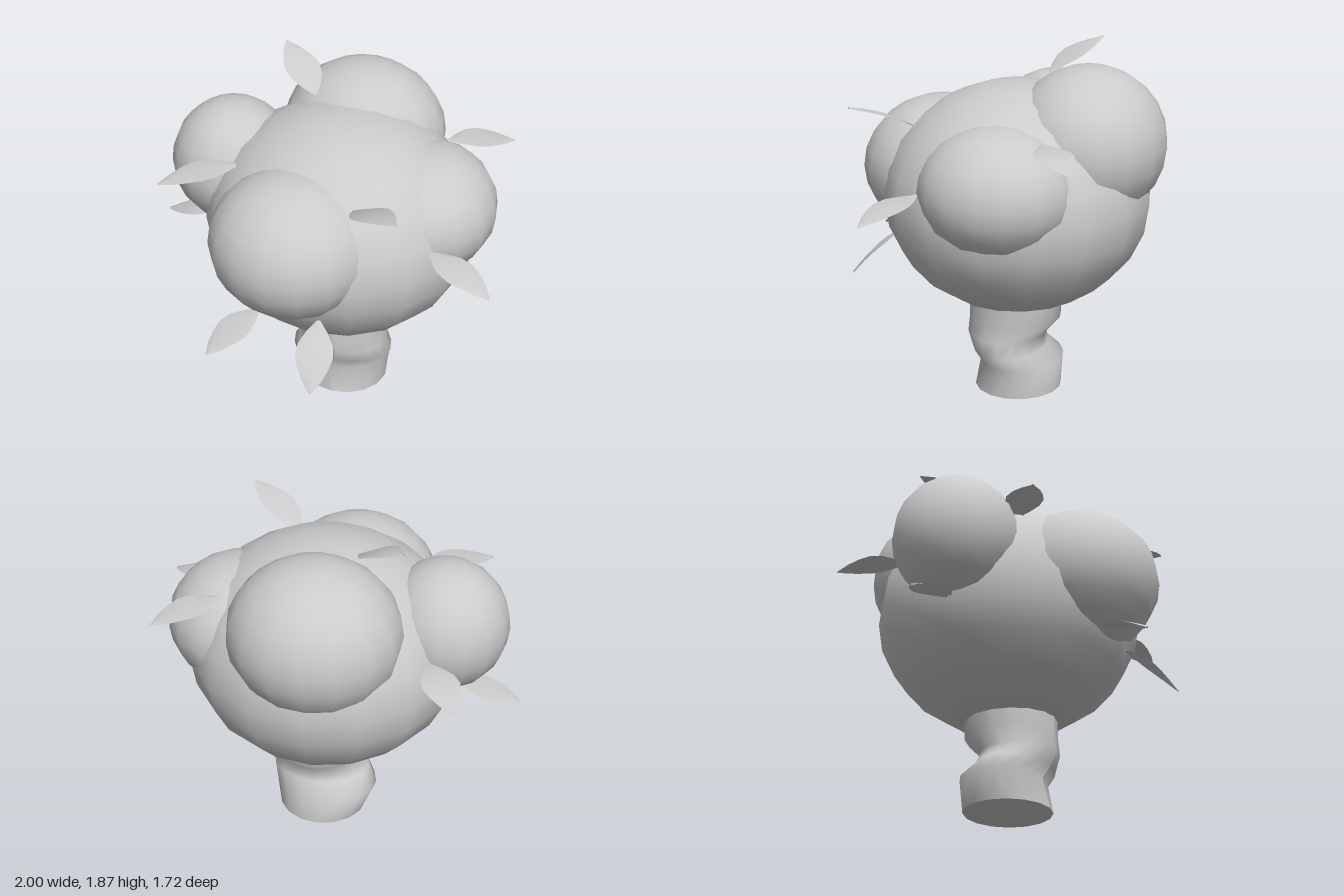
import * as THREE from 'three';

const mat = new THREE.MeshStandardMaterial({ color: 0xcccccc });
const leafMat = new THREE.MeshStandardMaterial({ color: 0xcccccc, side: THREE.DoubleSide });

// Foliage clumps: name, centre, radii
const CLUMPS = [
  ['crown', [0.055, 1.075, -0.075], [0.73, 0.615, 0.71]],
  ['frontClump', [-0.05, 1.18, 0.38], [0.44, 0.385, 0.43]],
  ['backClump', [0.05, 1.385, -0.45], [0.45, 0.405, 0.415]],
  ['rightClump', [-0.57, 1.285, -0.1], [0.335, 0.348, 0.335]],
  ['leftClump', [0.5, 1.215, -0.1], [0.385, 0.338, 0.41]],
];

// Leaves: stem point, tip point
const LEAVES = [
  [[-0.13, 1.71, -0.19], [-0.38, 1.87, -0.42]],
  [[0.27, 1.46, 0.41], [0.57, 1.61, 0.66]],
  [[-0.42, 1.45, 0.18], [-0.78, 1.39, 0.42]],
  [[0.64, 1.21, 0.28], [1.0, 1.13, 0.45]],
  [[0.55, 1.49, -0.34], [0.86, 1.43, -0.56]],
  [[-0.64, 0.935, -0.1], [-1.0, 0.84, -0.13]],
  [[-0.18, 0.84, 0.56], [-0.36, 0.71, 0.85]],
  [[0.15, 0.85, 0.56], [0.2, 0.59, 0.83]],
  [[-0.52, 1.25, -0.42], [-0.68, 1.19, -0.74]],
];

// Trunk rings: height, x min, x max, z min, z max
const RINGS = [
  [0, -0.17, 0.32, -0.32, 0.15],
  [0.16, -0.23, 0.335, -0.32, 0.12],
  [0.24, -0.18, 0.36, -0.245, 0.155],
  [0.32, -0.12, 0.335, -0.24, 0.18],
  [0.41, -0.165, 0.335, -0.32, 0.177],
  [0.58, -0.165, 0.345, -0.32, 0.172],
];

// Knobbly trunk: a cylinder whose rows follow the rings
function makeTrunk() {
  const geo = new THREE.CylinderGeometry(1, 1, 1, 16, RINGS.length - 1);
  const p = geo.attributes.position;
  for (let i = 0; i < p.count; i++) {
    const row = Math.round((p.getY(i) + 0.5) * (RINGS.length - 1));
    const [y, x0, x1, z0, z1] = RINGS[row];
    p.setXYZ(i,
      (x0 + x1) / 2 + p.getX(i) * (x1 - x0) / 2, y,
      (z0 + z1) / 2 + p.getZ(i) * (z1 - z0) / 2);
  }
  geo.computeVertexNormals();
  const mesh = new THREE.Mesh(geo, mat);
  mesh.name = 'trunk';
  return mesh;
}

// Thin arched leaf, pointed at both ends, lying level from side to side
function makeLeaf([from, to], index) {
  const a = new THREE.Vector3(...from), b = new THREE.Vector3(...to);
  const dir = b.clone().sub(a).normalize();
  const side = new THREE.Vector3().crossVectors(dir, new THREE.Vector3(0, 1, 0)).normalize();
  const up = new THREE.Vector3().crossVectors(side, dir);
  const widths = [0.008, 0.055, 0.09, 0.098, 0.08, 0.05, 0.005];
  const steps = widths.length - 1;
  const geo = new THREE.PlaneGeometry(1, 1, 2, steps);
  const p = geo.attributes.position;
  for (let i = 0; i < p.count; i++) {
    const row = Math.floor(i / 3), s = (i % 3) - 1, t = row / steps;
    const v = a.clone().lerp(b, t)
      .addScaledVector(side, s * widths[row])
      .addScaledVector(up, 0.02 * Math.sin(Math.PI * t) - 0.008 * Math.abs(s));
    p.setXYZ(i, v.x, v.y, v.z);
  }
  geo.computeVertexNormals();
  const mesh = new THREE.Mesh(geo, leafMat);
  mesh.name = `leaf${index + 1}`;
  return mesh;
}

export function createModel() {
  const tree = new THREE.Group();
  tree.name = 'tree';
  tree.add(makeTrunk());

  // Rounded foliage
  const ball = new THREE.SphereGeometry(1, 16, 12);
  for (const [name, centre, radii] of CLUMPS) {
    const clump = new THREE.Mesh(ball, mat);
    clump.name = name;
    clump.position.set(...centre);
    clump.scale.set(...radii);
    tree.add(clump);
  }

  // Loose leaves
  const leaves = new THREE.Group();
  leaves.name = 'leaves';
  LEAVES.forEach((leaf, i) => leaves.add(makeLeaf(leaf, i)));
  tree.add(leaves);
  return tree;
}
